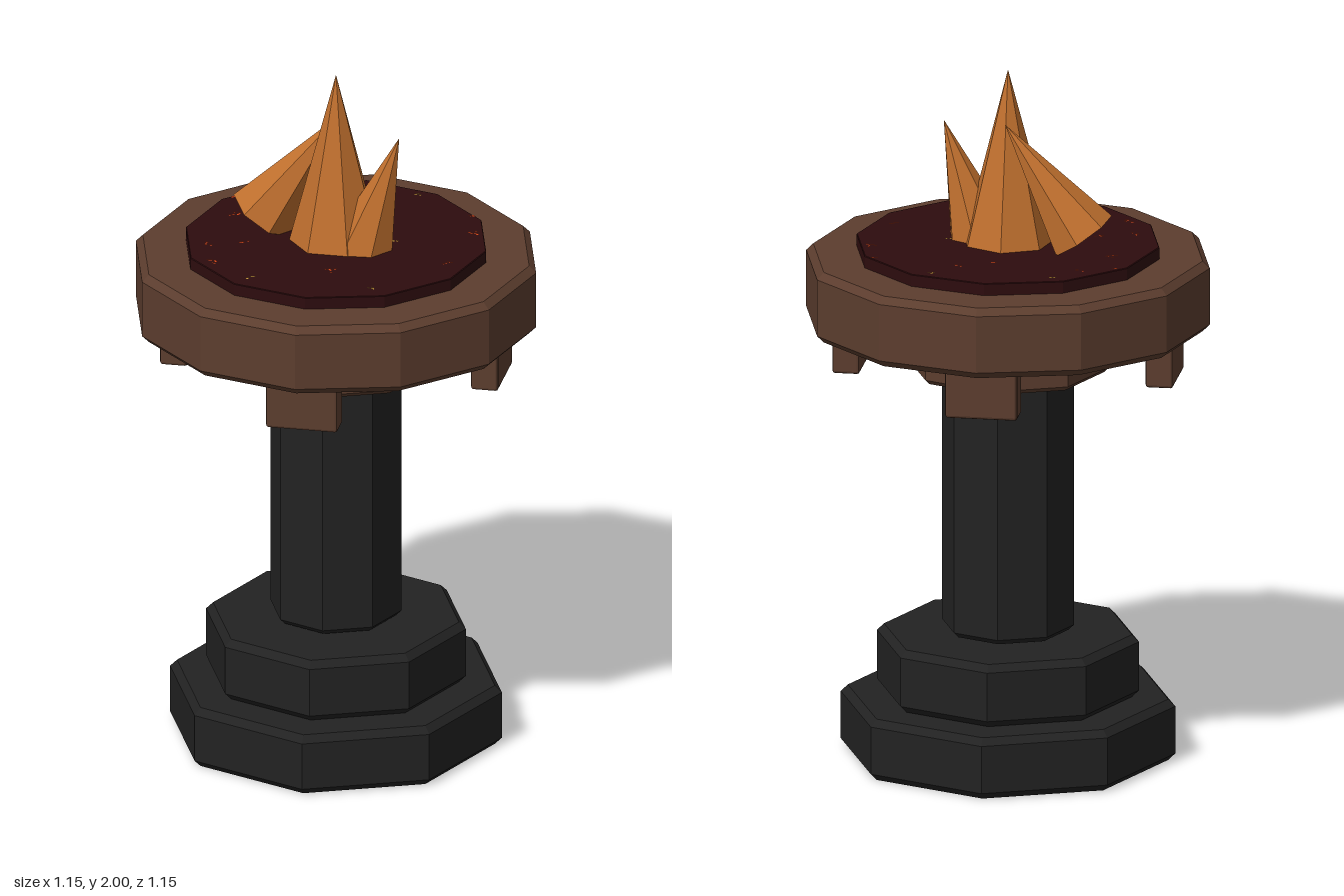
import * as THREE from 'three';
import { mergeGeometries } from 'three/addons/utils/BufferGeometryUtils.js';
import { RoundedBoxGeometry } from 'three/addons/geometries/RoundedBoxGeometry.js';

const mat = (name, color) => new THREE.MeshStandardMaterial({ name, color, flatShading: true });

export function createModel() {
  const stone = mat('dark stone', 0x222222);
  const wood = mat('brown bronze', 0x5c3d2e);
  const coal = mat('dark coals', 0x2d0c0e);
  const flame = mat('flame orange', 0xbf6f2e);
  const emberRed = mat('ember red', 0xd8481c);
  const emberGold = mat('ember gold', 0xc8963c);

  const group = new THREE.Group();
  const add = (name, geometry, material) => {
    const mesh = new THREE.Mesh(geometry, material);
    mesh.name = name;
    group.add(mesh);
    return mesh;
  };

  // Solid faceted drum with small bevels, a corner on each axis
  const drum = (name, r, y0, y1, sides, bevel, material) => {
    const profile = [
      [0, y0], [r - bevel, y0], [r, y0 + bevel],
      [r, y1 - bevel], [r - bevel, y1], [0, y1],
    ].map(([x, y]) => new THREE.Vector2(x, y));
    return add(name, new THREE.LatheGeometry(profile, sides), material);
  };

  // Pedestal
  drum('lowerBase', 0.475, 0, 0.178, 8, 0.02, stone);
  drum('upperBase', 0.372, 0.18, 0.362, 8, 0.02, stone);
  drum('pillar', 0.187, 0.368, 1.2, 8, 0.015, stone);
  drum('collar', 0.286, 1.127, 1.238, 8, 0.013, wood);

  // Bowl and coal bed
  drum('bowl', 0.573, 1.26, 1.465, 12, 0.02, wood);
  drum('coalBed', 0.43, 1.44, 1.5, 12, 0.002, coal);

  // Four brackets under the bowl
  for (let i = 0; i < 4; i++) {
    const a = (i * Math.PI) / 2;
    const bracket = add('bracket', new RoundedBoxGeometry(0.205, 0.16, 0.078, 1, 0.008), wood);
    bracket.position.set(Math.sin(a) * 0.445, 1.197, Math.cos(a) * 0.445);
    bracket.rotation.y = a;
  }

  // Seven-sided flames, leaning from base centre to tip
  const addFlame = (name, radius, base, tip) => {
    const from = new THREE.Vector3(...base);
    const axis = new THREE.Vector3(...tip).sub(from);
    const length = axis.length();
    const cone = new THREE.ConeGeometry(radius, length, 7);
    cone.rotateY(Math.PI).translate(0, length / 2, 0);
    const mesh = add(name, cone, flame);
    mesh.quaternion.setFromUnitVectors(new THREE.Vector3(0, 1, 0), axis.normalize());
    mesh.position.copy(from);
  };
  addFlame('mainFlame', 0.135, [0, 1.485, 0], [0, 2, 0]);
  addFlame('leaningFlame', 0.1, [-0.22, 1.54, -0.055], [0, 1.855, -0.055]);
  addFlame('smallFlame', 0.1, [0.075, 1.475, 0.03], [0.187, 1.835, 0.03]);

  // Ember flecks scattered in clusters on the coals
  let seed = 7;
  const random = () => (seed = (seed * 16807) % 2147483647) / 2147483647;
  const embers = (name, spots, count, spread, material) => {
    const flecks = [];
    for (const [x, z] of spots) {
      for (let i = 0; i < count; i++) {
        const fleck = new THREE.PlaneGeometry(0.008, 0.006).rotateX(-Math.PI / 2);
        fleck.translate(x + (random() - 0.5) * spread, 1.502, z + (random() - 0.5) * spread);
        flecks.push(fleck);
      }
    }
    add(name, mergeGeometries(flecks), material);
  };
  embers('redEmbers', [
    [-0.31, -0.115], [0.37, -0.115], [-0.31, 0.23], [0.03, 0.23],
  ], 7, 0.03, emberRed);
  embers('smallRedEmbers', [
    [-0.34, -0.23], [0, -0.23], [0.34, -0.23], [-0.34, 0.11], [0.34, 0.11],
    [-0.245, -0.265], [0.1, -0.265], [-0.245, 0.075],
  ], 4, 0.022, emberRed);
  embers('goldEmbers', [
    [-0.178, -0.355], [0.165, -0.355], [-0.178, 0.325], [0.165, 0.325], [0.165, -0.015],
  ], 4, 0.02, emberGold);

  return group;
}
